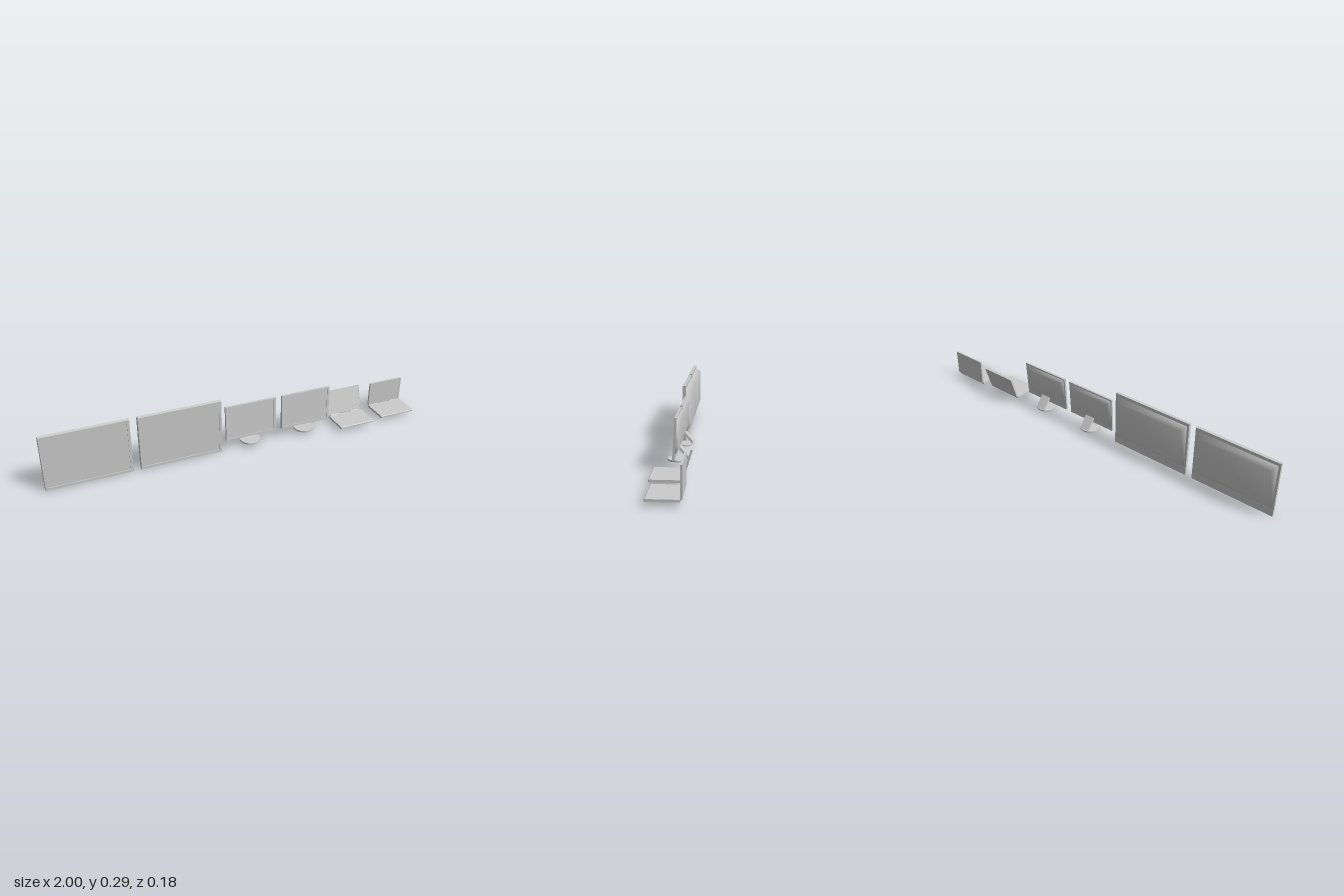
import * as THREE from 'three';

const grey = new THREE.MeshStandardMaterial({ color: 0xcccccc });
const greyFlat = new THREE.MeshStandardMaterial({ color: 0xcccccc, flatShading: true });

// Lofts rectangular rings [halfWidth, bottom, top, z] from back to front and caps both ends
function loftRects(name, rings, smooth = false) {
  const pos = [], idx = [];
  rings.forEach(([w, y0, y1, z]) => pos.push(-w, y0, z, w, y0, z, w, y1, z, -w, y1, z));
  idx.push(0, 2, 1, 0, 3, 2);
  for (let r = 0; r < rings.length - 1; r++) {
    for (let i = 0; i < 4; i++) {
      const a = r * 4 + i, b = r * 4 + (i + 1) % 4;
      idx.push(a, b, b + 4, a, b + 4, a + 4);
    }
  }
  const e = (rings.length - 1) * 4;
  if (!smooth) idx.push(e, e + 1, e + 2, e, e + 2, e + 3);
  let geo = new THREE.BufferGeometry();
  geo.setAttribute('position', new THREE.Float32BufferAttribute(pos, 3));
  geo.setIndex(idx);
  if (!smooth) geo = geo.toNonIndexed();
  geo.computeVertexNormals();
  const mesh = new THREE.Mesh(geo, smooth ? grey : greyFlat);
  mesh.name = name;
  return mesh;
}

// Slab with a bezel and a sunken screen; the back edge flares slightly
function framedPanel(name, w, h, depth, bezel, flare, sink) {
  const f = flare, b = bezel;
  return loftRects(name, [
    [w, 0, h, 0],
    [w - f, f, h - f, depth],
    [w - b, b, h - b, depth],
    [w - b, b, h - b, depth - sink],
  ]);
}

function box(name, w, h, d, x, y, z) {
  const mesh = new THREE.Mesh(new THREE.BoxGeometry(w, h, d), greyFlat);
  mesh.position.set(x, y, z);
  mesh.name = name;
  return mesh;
}

function television(x) {
  const g = new THREE.Group();
  g.name = 'television';
  g.add(framedPanel('televisionFrame', 0.214, 0.293, 0.018, 0.015, 0.002, 0.004));
  g.add(loftRects('televisionBack', [
    [0.182, 0.075, 0.255, -0.026],
    [0.203, 0.045, 0.277, 0.0],
  ], true));
  g.position.x = x;
  return g;
}

function monitor(x) {
  const g = new THREE.Group();
  g.name = 'monitor';
  // Display, leaning back a little
  const display = new THREE.Group();
  display.name = 'monitorDisplay';
  display.add(framedPanel('monitorFrame', 0.139, 0.19, 0.011, 0.013, 0.001, 0.003));
  display.add(loftRects('monitorBack', [
    [0.12, 0.045, 0.166, -0.016],
    [0.132, 0.026, 0.182, 0.0],
  ], true));
  display.position.set(0, 0.053, 0.004);
  display.rotation.x = -0.054;
  g.add(display);
  // Slanted neck from the rear of the foot to the display
  const neck = box('monitorNeck', 0.05, 0.078, 0.012, 0, 0.06, -0.027);
  neck.rotation.x = Math.atan2(0.05, 0.06);
  g.add(neck);
  // Round foot
  const foot = new THREE.Mesh(new THREE.CylinderGeometry(0.053, 0.053, 0.008, 32), grey);
  foot.position.set(0, 0.025, -0.004);
  foot.name = 'monitorFoot';
  g.add(foot);
  g.position.x = x;
  return g;
}

function laptop(x, frontZ, tilt) {
  const g = new THREE.Group();
  g.name = 'laptop';
  // Keyboard half with a slightly rounded front edge
  g.add(loftRects('laptopBase', [
    [0.1, 0.02, 0.031, -0.136],
    [0.1, 0.02, 0.031, -0.003],
    [0.099, 0.022, 0.029, 0],
  ]));
  // Hinged screen half
  const lid = new THREE.Group();
  lid.name = 'laptopLid';
  const panel = framedPanel('laptopScreen', 0.1, 0.133, 0.009, 0.006, 0.0005, 0.001);
  panel.position.set(0, 0.006, -0.0045);
  lid.add(panel);
  lid.position.set(0, 0.026, -0.141);
  lid.rotation.x = -tilt;
  g.add(lid);
  // Hinge barrels
  for (const s of [-1, 1]) {
    const hinge = new THREE.Mesh(new THREE.CylinderGeometry(0.005, 0.005, 0.05, 12), grey);
    hinge.rotation.z = Math.PI / 2;
    hinge.position.set(s * 0.06, 0.029, -0.139);
    hinge.name = 'laptopHinge';
    g.add(hinge);
  }
  g.position.set(x, 0, frontZ);
  return g;
}

export function createModel() {
  const model = new THREE.Group();
  model.name = 'screenCollection';
  model.add(television(-0.786), television(-0.322));
  model.add(monitor(0.054), monitor(0.364));
  model.add(laptop(0.64, 0.092, 0.285), laptop(0.9, 0.074, 0));
  return model;
}
